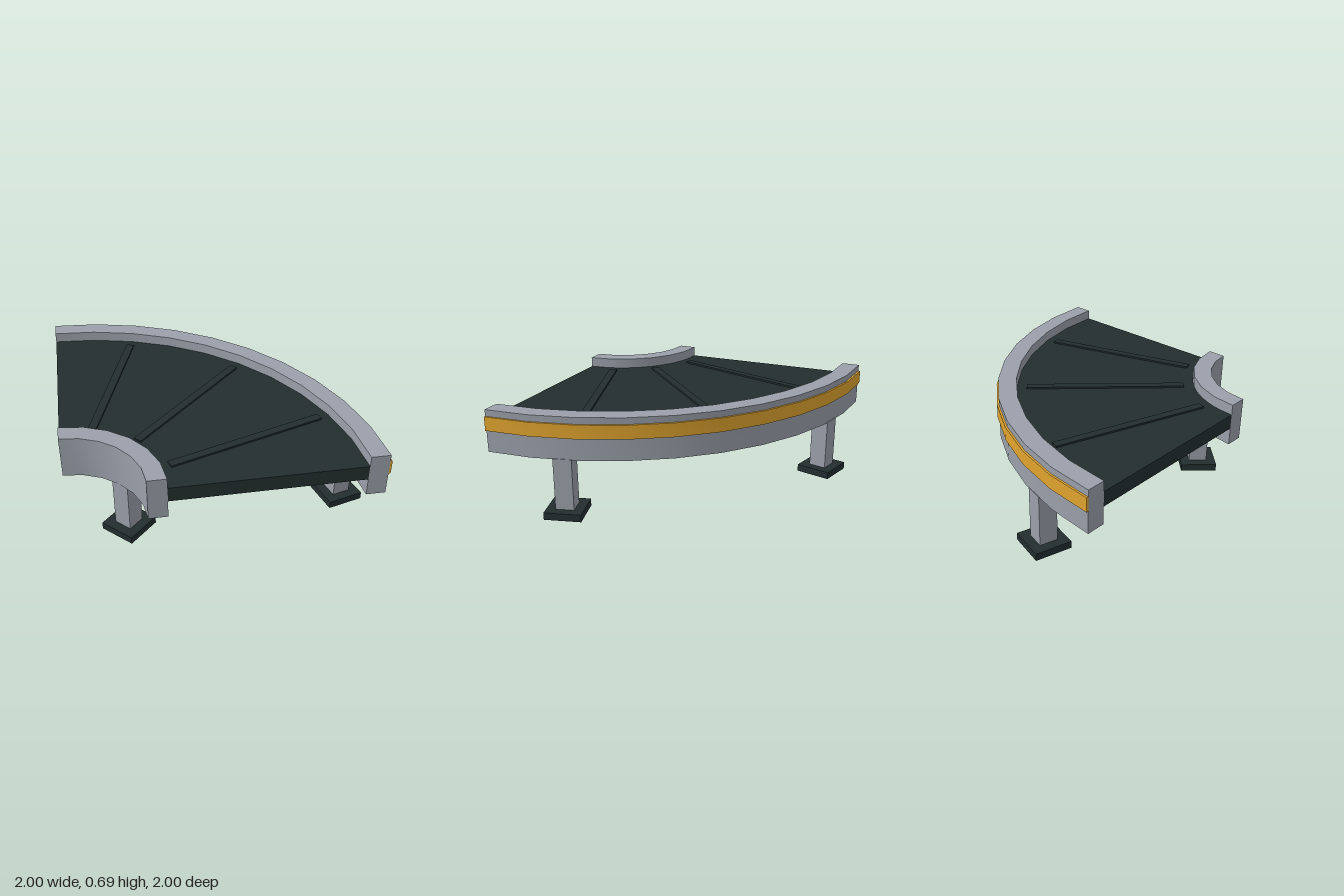
import * as THREE from 'three';
import { toCreasedNormals } from 'three/addons/utils/BufferGeometryUtils.js';

const mat = (name, color) => {
  const m = new THREE.MeshStandardMaterial({ color });
  m.name = name;
  return m;
};

// Quarter-ring solid swept from -z (angle 0) to +x (angle 90)
function quarterRing(r0, r1, height, segments) {
  const outer = [], inner = [];
  for (let i = 0; i <= segments; i++) {
    const a = (i / segments) * Math.PI / 2;
    outer.push(new THREE.Vector2(r1 * Math.sin(a), r1 * Math.cos(a)));
    inner.unshift(new THREE.Vector2(r0 * Math.sin(a), r0 * Math.cos(a)));
  }
  const g = new THREE.ExtrudeGeometry(new THREE.Shape([...outer, ...inner]), { depth: height, bevelEnabled: false });
  g.rotateX(-Math.PI / 2);
  return toCreasedNormals(g, Math.PI / 6);
}

export function createModel() {
  const grey = mat('rail grey', 0x9aa0aa);
  const dark = mat('belt dark', 0x232e2f);
  const yellow = mat('stripe yellow', 0xe0a42e);

  const model = new THREE.Group();
  model.name = 'curvedConveyor';
  // Everything turns about the corner of the bend
  const bend = new THREE.Group();
  bend.name = 'bend';
  bend.position.set(-1, 0, 1);
  model.add(bend);

  const add = (parent, name, geometry, material, x, y, z) => {
    const mesh = new THREE.Mesh(geometry, material);
    mesh.name = name;
    mesh.position.set(x, y, z);
    parent.add(mesh);
    return mesh;
  };

  // Rails, belt and safety stripe
  add(bend, 'outerRail', quarterRing(1.85, 1.975, 0.29, 10), grey, 0, 0.4, 0);
  add(bend, 'innerRail', quarterRing(0.495, 0.617, 0.29, 6), grey, 0, 0.4, 0);
  add(bend, 'belt', quarterRing(0.617, 1.85, 0.1, 10), dark, 0, 0.52, 0);
  add(bend, 'stripe', quarterRing(1.975, 1.988, 0.095, 10), yellow, 0, 0.55, 0);

  // Group whose -z axis points outward at the given angle
  const spoke = (name, degrees) => {
    const g = new THREE.Group();
    g.name = name;
    g.rotation.y = -THREE.MathUtils.degToRad(degrees);
    bend.add(g);
    return g;
  };

  // Raised slats across the belt
  for (const angle of [18, 45, 72]) {
    add(spoke('slat', angle), 'slatBar', new THREE.BoxGeometry(0.055, 0.02, 1.09), dark, 0, 0.622, -1.235);
  }

  // Legs: post on a square foot, under the middle of each rail
  for (const [angle, r] of [[15, 1.912], [75, 1.912], [45, 0.56]]) {
    const leg = spoke('leg', angle);
    add(leg, 'post', new THREE.BoxGeometry(0.124, 0.36, 0.124), grey, 0, 0.225, -r);
    add(leg, 'foot', new THREE.BoxGeometry(0.249, 0.05, 0.249), dark, 0, 0.025, -r);
  }
  return model;
}
